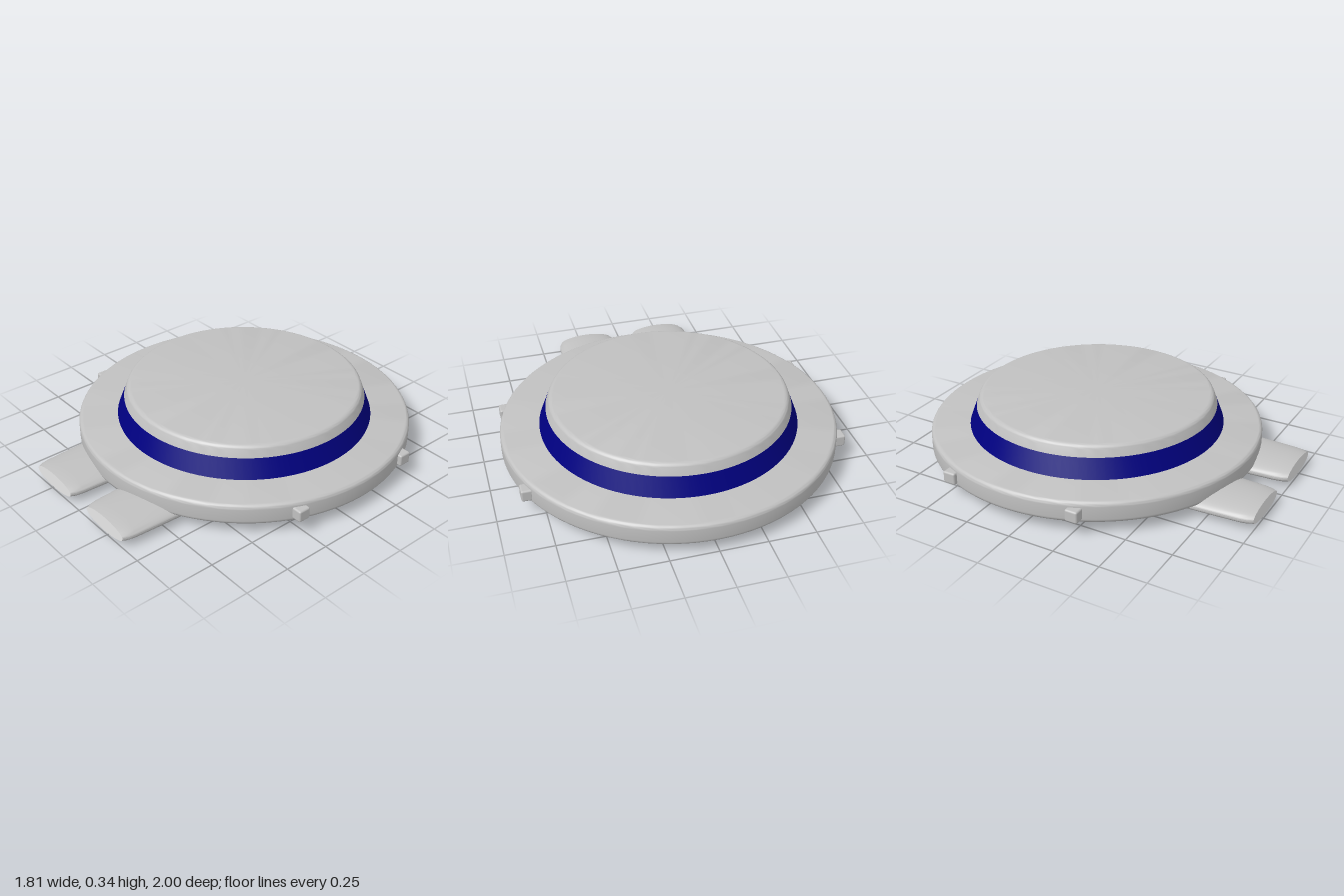
import * as THREE from 'three';
import { toCreasedNormals } from 'three/addons/utils/BufferGeometryUtils.js';
import { RoundedBoxGeometry } from 'three/addons/geometries/RoundedBoxGeometry.js';

const CENTRE_Z = -0.095;

// Revolved profile with crisp edges kept sharp
function lathe(points, segments = 96) {
  const profile = points.map(([r, y]) => new THREE.Vector2(r, y));
  return toCreasedNormals(new THREE.LatheGeometry(profile, segments), 0.6);
}

// Quarter-round from angle a to b (degrees) about (r, y)
function arc(r, y, radius, a, b, steps = 6) {
  return Array.from({ length: steps + 1 }, (_, i) => {
    const t = THREE.MathUtils.degToRad(a + ((b - a) * i) / steps);
    return [r + radius * Math.cos(t), y + radius * Math.sin(t)];
  });
}

export function createModel() {
  const group = new THREE.Group();
  const material = (name, color) => {
    const m = new THREE.MeshStandardMaterial({ color });
    m.name = name;
    return m;
  };
  const silver = material('silver hull', 0xc0c0c0);
  const navy = material('navy band', 0x000080);
  const white = material('white nozzle', 0xf2f2f2);

  const add = (name, geometry, mat, x = 0, y = 0, z = CENTRE_Z) => {
    const mesh = new THREE.Mesh(geometry, mat);
    mesh.name = name;
    mesh.position.set(x, y, z);
    group.add(mesh);
    return mesh;
  };

  // Main saucer disc with rounded rim
  add('saucerDisc', lathe([
    [0, 0.065],
    ...arc(0.88, 0.09, 0.025, -90, 0),
    ...arc(0.88, 0.157, 0.025, 0, 90),
    [0, 0.182],
  ]), silver);

  // Thin plate on the underside
  add('bottomPlate', lathe([[0, 0.058], [0.645, 0.058], [0.645, 0.07]]), silver);

  // Sloping coloured band and the rounded lid above it
  add('cabinBand', lathe([[0.695, 0.18], [0.655, 0.285]]), navy);
  add('cabinLid', lathe([
    [0.655, 0.285],
    ...arc(0.612, 0.315, 0.03, 15, 90),
    [0, 0.345],
  ]), silver);

  // Small rim blocks, two on each side
  for (const side of [-1, 1]) {
    for (const dz of [-0.36, 0.36]) {
      add('rimBlock', new RoundedBoxGeometry(0.06, 0.065, 0.07, 2, 0.01), silver,
        side * 0.837, 0.12, CENTRE_Z + dz);
    }
  }

  // Flattened engine pods with pale front faces
  const squash = 0.285;
  const podBody = new THREE.LatheGeometry([
    [0, -0.045], [0.165, -0.045], [0.18, -0.03], [0.188, 0.05], [0.188, 0.65],
    [0.182, 0.8], [0.175, 0.93], [0.168, 0.97], [0.155, 0.998],
  ].map(([r, y]) => new THREE.Vector2(r, y)), 48);
  podBody.rotateX(Math.PI / 2).scale(1, squash, 1);
  const body = toCreasedNormals(podBody, 0.7);
  const face = new THREE.CircleGeometry(0.155, 48).scale(1, squash, 1);
  for (const side of [-1, 1]) {
    add('enginePod', body, silver, side * 0.228, 0.056, 0);
    add('engineFace', face, white, side * 0.228, 0.056, 0.998);
  }

  return group;
}
